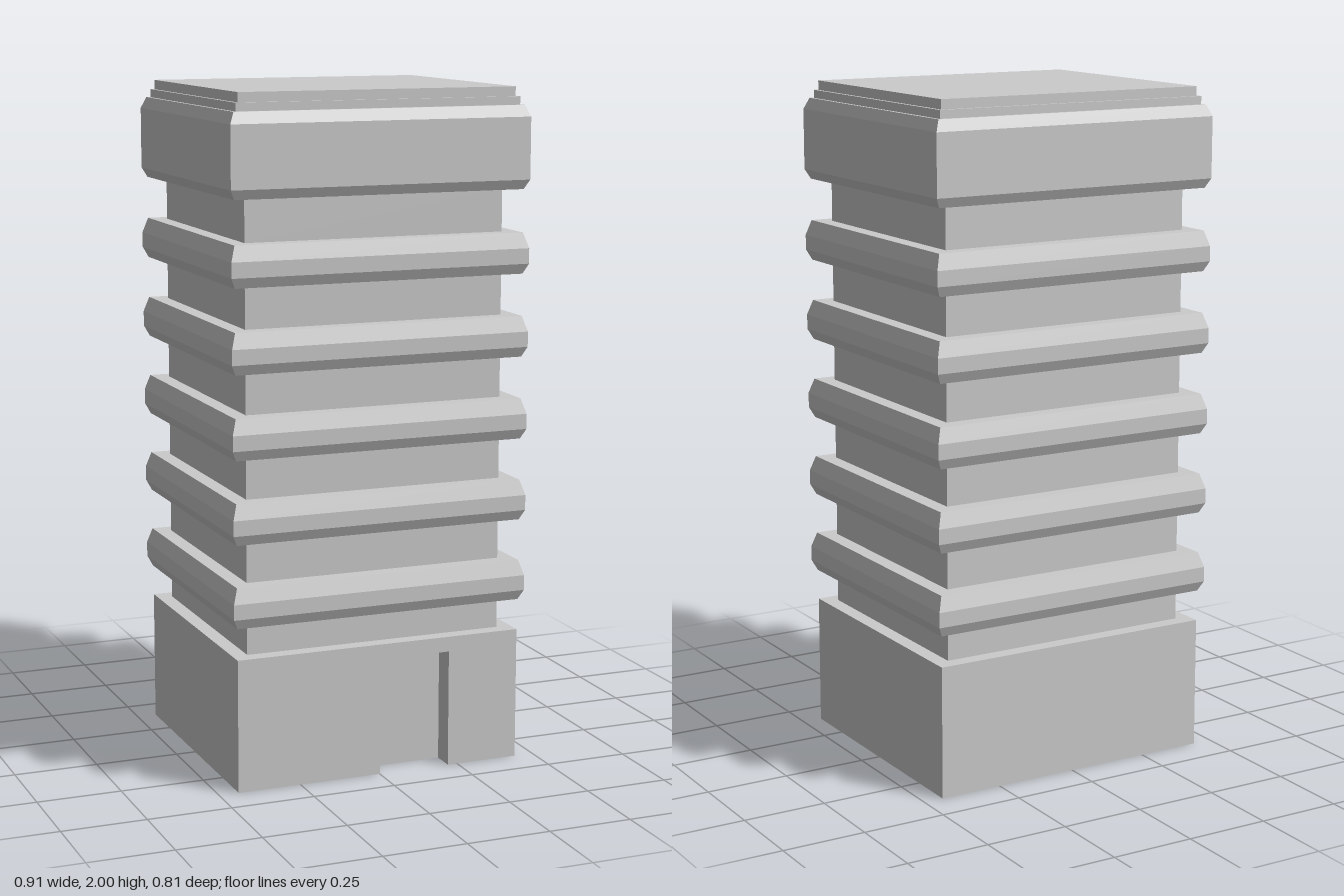
import * as THREE from 'three';

const INSET = 0.049; // the plan is this much shallower than wide, per side

// Rectangular shell swept through [half width, y] points; sides: 0 left, 1 back, 2 right, 3 front
function shell(profile, sides = [0, 1, 2, 3]) {
  const corners = [[1, 1], [1, -1], [-1, -1], [-1, 1]];
  const pos = [];
  for (let k = 0; k + 1 < profile.length; k++) {
    for (const s of sides) {
      const at = (c, [w, y]) => [corners[c % 4][0] * w, y, corners[c % 4][1] * (w - INSET)];
      const a = at(s, profile[k]), b = at(s + 1, profile[k]);
      const c = at(s + 1, profile[k + 1]), d = at(s, profile[k + 1]);
      pos.push(...a, ...b, ...c, ...a, ...c, ...d);
    }
  }
  const g = new THREE.BufferGeometry();
  g.setAttribute('position', new THREE.Float32BufferAttribute(pos, 3));
  g.computeVertexNormals();
  return g;
}

export function createModel() {
  const group = new THREE.Group();
  // The tower is an open, hollow shell, so every surface shows from both sides
  const material = new THREE.MeshStandardMaterial({ color: 0xcccccc, flatShading: true, side: THREE.DoubleSide });
  const add = (name, geometry, parent = group) => {
    const m = new THREE.Mesh(geometry, material);
    m.name = name;
    parent.add(m);
    return m;
  };

  const BASE = 0.441, SHAFT = 0.396, OUT = 0.456, LIP = 0.442;
  const baseTop = 0.395, bandBottom = 0.488, bandHeight = 0.12, pitch = 0.2435;

  // Hollow ground floor, open underneath
  add('baseWalls', shell([[BASE, 0], [BASE, baseTop]], [0, 1, 2]));
  add('baseLedge', shell([[BASE, baseTop], [SHAFT, baseTop]]));

  // Front wall notched for the doorway
  const doorL = 0, doorR = 0.22, doorH = 0.35, depth = 0.07, zF = BASE - INSET;
  const wall = new THREE.Shape([
    [-BASE, 0], [doorL, 0], [doorL, doorH], [doorR, doorH],
    [doorR, 0], [BASE, 0], [BASE, baseTop], [-BASE, baseTop],
  ].map(([x, y]) => new THREE.Vector2(x, y)));
  add('frontWall', new THREE.ShapeGeometry(wall).translate(0, 0, zF));

  // Recessed doorway: panel, two jambs and lintel
  const doorway = new THREE.Group();
  doorway.name = 'doorway';
  group.add(doorway);
  const midX = (doorL + doorR) / 2;
  add('doorPanel', new THREE.PlaneGeometry(doorR - doorL, doorH), doorway)
    .position.set(midX, doorH / 2, zF - depth);
  for (const [x, turn] of [[doorL, 1], [doorR, -1]]) {
    const jamb = add('doorJamb', new THREE.PlaneGeometry(depth, doorH), doorway);
    jamb.position.set(x, doorH / 2, zF - depth / 2);
    jamb.rotation.y = turn * Math.PI / 2;
  }
  const lintel = add('doorLintel', new THREE.PlaneGeometry(doorR - doorL, depth), doorway);
  lintel.position.set(midX, doorH, zF - depth / 2);
  lintel.rotation.x = Math.PI / 2;

  // Five storeys: a wall strip with a bevelled band above it
  let y = baseTop;
  for (let i = 0; i < 5; i++) {
    const b = bandBottom + i * pitch, t = b + bandHeight;
    add('storeyWall', shell([[SHAFT, y], [SHAFT, b]]));
    add('band', shell([[SHAFT, b], [LIP, b], [OUT, b + 0.03], [OUT, b + 0.075], [LIP, t], [SHAFT, t]]));
    y = t;
  }

  // Top storey: last wall strip, tall bevelled crown and stepped flat roof
  add('topWall', shell([[SHAFT, y], [SHAFT, 1.707]]));
  add('crown', shell([
    [SHAFT, 1.707], [LIP, 1.707], [OUT, 1.735], [OUT, 1.915], [LIP, 1.948], [0.432, 1.948],
  ]));
  add('roofSteps', shell([[0.432, 1.948], [0.432, 1.972], [0.422, 1.972], [0.422, 2]]));
  const roof = add('roof', new THREE.PlaneGeometry(0.844, 0.746));
  roof.rotation.x = -Math.PI / 2;
  roof.position.y = 2;

  return group;
}
